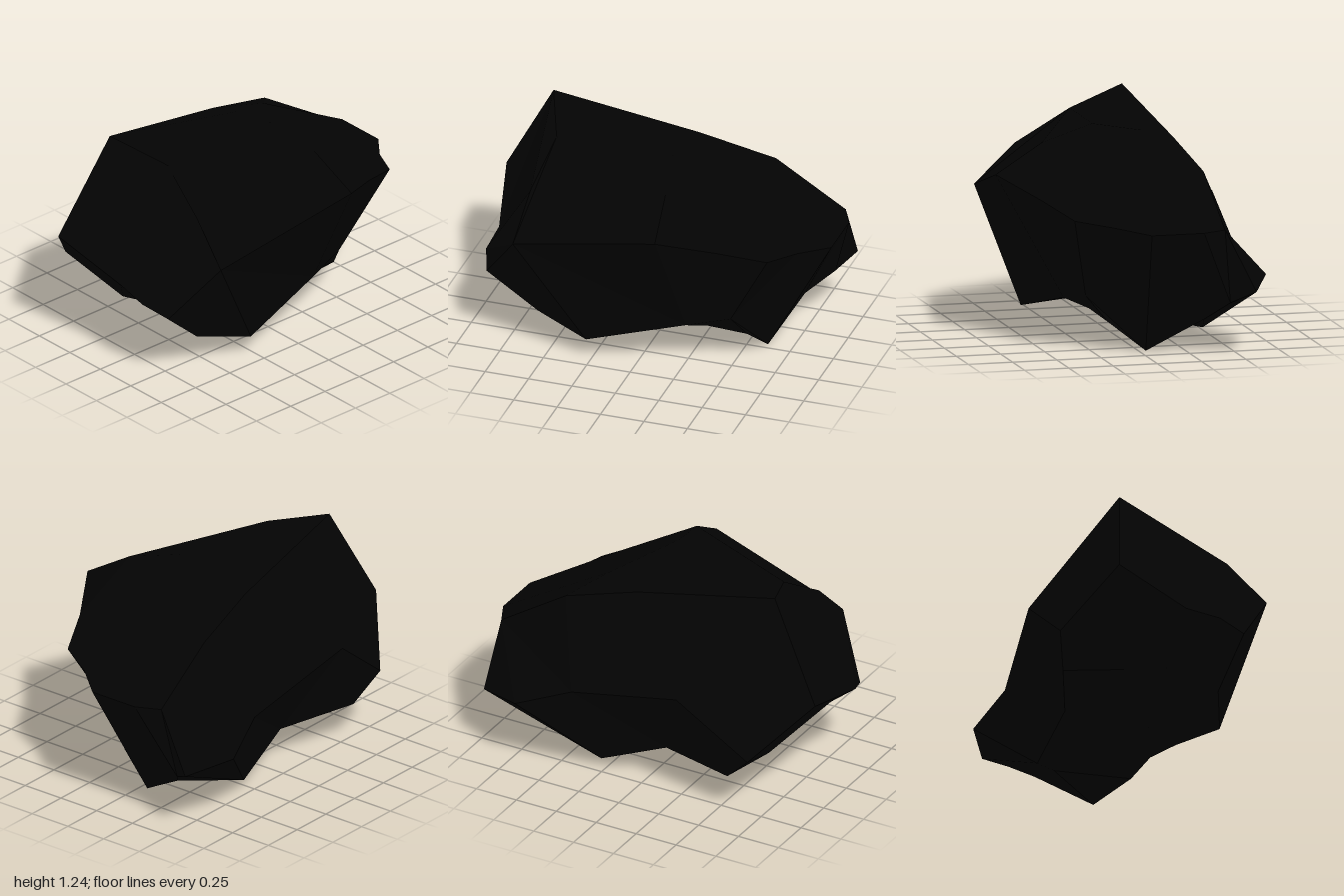
import * as THREE from 'three';

// Horizontal loops of the boulder, each running left -> front -> right -> back
const peak = [0.12, 1.18, 0.13];
const crown = [
  [-0.57, 1.14, 0.07], [0.18, 1.1, 0.43], [0.56, 0.92, 0.27], [0.37, 1.07, -0.2], [0.12, 1.13, -0.15],
];
const shoulder = [
  [-0.7, 1.235, -0.26], [-0.62, 0.95, 0.37], [-0.645, 0.73, 0.59], [0.21, 0.94, 0.7],
  [0.5, 0.84, 0.52], [0.755, 0.765, 0.4], [0.86, 0.735, 0.2], [1, 0.71, 0.03],
  [1, 0.71, -0.265], [0.935, 0.71, -0.4], [0.54, 0.965, -0.385], [0.12, 1.08, -0.33],
];
const belly = [
  [-1, 0.685, -0.345], [-0.905, 0.515, 0.06], [-0.915, 0.475, 0.25], [-0.86, 0.425, 0.4],
  [-0.59, 0.19, 0.33], [-0.28, 0.115, 0.425], [0.26, 0.25, 0.33], [0.5, 0.3, 0.27],
  [0.61, 0, -0.04], [0.72, 0.18, -0.34], [0.86, 0.29, -0.45], [0.945, 0.36, -0.575],
  [0.68, 0.405, -0.7], [0.38, 0.515, -0.605], [-0.31, 0.69, -0.665], [-0.72, 0.38, -0.6],
];
const underside = [
  [-0.64, 0.23, -0.22], [-0.62, 0.28, 0.03], [0, 0.21, 0.1], [0.35, 0.2, 0.21], [0.56, 0.16, 0.16],
  [0.47, 0.11, -0.3], [0.28, 0.05, -0.45], [-0.1, 0.2, -0.4], [-0.56, 0.22, -0.54],
];
const hollow = [0.1, 0.2, -0.15];

const distance = (p, q) => Math.hypot(p[0] - q[0], p[1] - q[1], p[2] - q[2]);

// Joins an upper and a lower loop by the shorter diagonal, slightly favouring lower steps
function stitch(out, upper, lower) {
  const up = (i) => upper[i % upper.length];
  const low = (j) => lower[j % lower.length];
  let i = 0, j = 0;
  while (i < upper.length || j < lower.length) {
    const stepLower = i === upper.length ||
      (j < lower.length && 0.93 * distance(up(i), low(j + 1)) <= distance(up(i + 1), low(j)));
    if (stepLower) out.push(up(i), low(j), low(++j));
    else out.push(up(i), low(j), up(++i));
  }
}

// Closes a loop with a fan around a centre point
function cap(out, centre, loop, facesUp) {
  loop.forEach((p, i) => {
    const q = loop[(i + 1) % loop.length];
    out.push(centre, ...(facesUp ? [p, q] : [q, p]));
  });
}

export function createModel() {
  const corners = [];
  cap(corners, peak, crown, true);
  stitch(corners, crown, shoulder);
  stitch(corners, shoulder, belly);
  stitch(corners, belly, underside);
  cap(corners, hollow, underside, false);

  const geometry = new THREE.BufferGeometry();
  geometry.setAttribute('position', new THREE.Float32BufferAttribute(corners.flat(), 3));
  geometry.computeVertexNormals();

  const boulder = new THREE.Mesh(
    geometry,
    new THREE.MeshStandardMaterial({ color: 0x030303, flatShading: true }),
  );
  boulder.name = 'boulder';

  const group = new THREE.Group();
  group.name = 'rock';
  group.add(boulder);
  return group;
}
